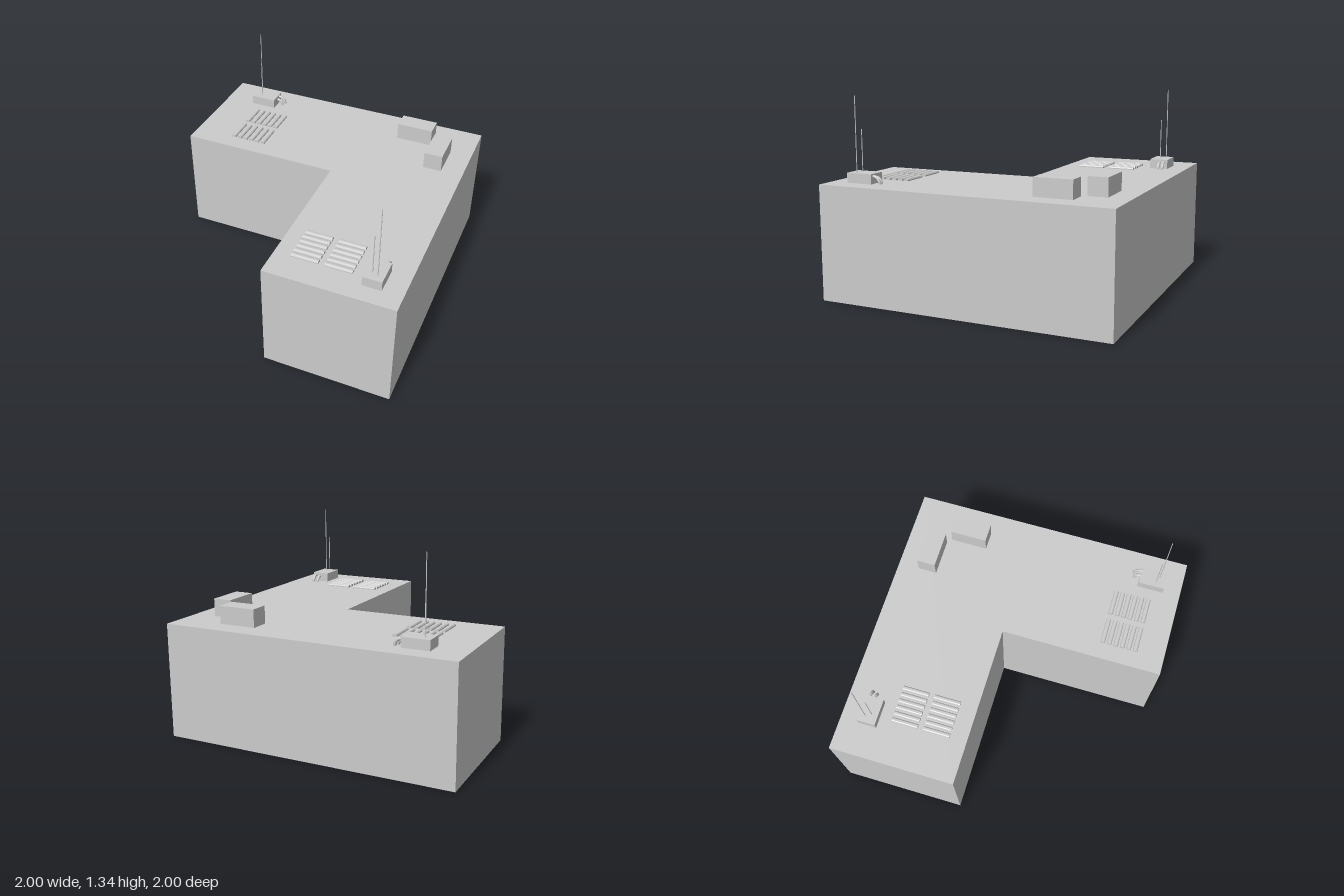
import * as THREE from 'three';

const ROOF = 0.775;
const grey = new THREE.MeshStandardMaterial({ color: 0xcccccc, flatShading: true });
const smoothGrey = new THREE.MeshStandardMaterial({ color: 0xcccccc });

function add(parent, name, geometry, x = 0, y = 0, z = 0, material = grey) {
  const mesh = new THREE.Mesh(geometry, material);
  mesh.name = name;
  mesh.position.set(x, y, z);
  parent.add(mesh);
  return mesh;
}

// Box standing on the roof
function roofBox(parent, name, w, h, d, x = 0, z = 0) {
  return add(parent, name, new THREE.BoxGeometry(w, h, d), x, h / 2, z);
}

// Closed prism along z with a bevelled, rounded top
function slatGeometry(length) {
  const pts = [[-0.016, 0], [0.016, 0], [0.016, 0.007], [0.012, 0.014], [0.006, 0.017],
    [-0.006, 0.017], [-0.012, 0.014], [-0.016, 0.007]];
  const shape = new THREE.Shape(pts.map(([x, y]) => new THREE.Vector2(x, y)));
  const geo = new THREE.ExtrudeGeometry(shape, { depth: length, bevelEnabled: false });
  return geo.translate(0, 0, -length / 2);
}

// Two rows of six parallel slats
function slatBank(name) {
  const bank = new THREE.Group();
  bank.name = name;
  const geo = slatGeometry(0.184);
  for (const z of [-0.1125, 0.1125]) {
    for (let i = 0; i < 6; i++) add(bank, 'slat', geo, (i - 2.5) * 0.0465, 0, z);
  }
  return bank;
}

// Cabinet with two masts and two bent pipes; side mirrors the fittings in z
function antennaUnit(name, side) {
  const unit = new THREE.Group();
  unit.name = name;
  roofBox(unit, 'cabinet', 0.185, 0.066, 0.127);
  for (const [x, z, top] of [[-0.045, -0.02, 1.34], [-0.027, 0.02, 1.12]]) {
    const h = top - ROOF - 0.06;
    add(unit, 'mast', new THREE.CylinderGeometry(0.003, 0.003, h, 8), x, 0.06 + h / 2, z * side, smoothGrey);
  }
  for (const [z, r] of [[-0.0375, 0.049], [-0.005, 0.04]]) {
    const path = new THREE.CurvePath();
    const v = (x, y) => new THREE.Vector3(x, y, 0);
    const k = 0.5523 * r;
    const x0 = 0.0925;
    path.add(new THREE.LineCurve3(v(x0 - 0.01, r), v(x0, r)));
    path.add(new THREE.CubicBezierCurve3(v(x0, r), v(x0 + k, r), v(x0 + r, k), v(x0 + r, 0)));
    add(unit, 'bentPipe', new THREE.TubeGeometry(path, 14, 0.01, 10), 0, 0, z * side, smoothGrey);
  }
  return unit;
}

export function createModel() {
  const model = new THREE.Group();
  model.name = 'building';

  // L-shaped block
  const plan = [[-1, -1], [-1, -0.13], [0.13, -0.13], [0.13, 1], [1, 1], [1, -1]];
  const shape = new THREE.Shape(plan.map(([x, z]) => new THREE.Vector2(x, -z)));
  const block = new THREE.ExtrudeGeometry(shape, { depth: ROOF, bevelEnabled: false });
  add(model, 'block', block.rotateX(-Math.PI / 2));

  const roof = new THREE.Group();
  roof.name = 'roofFittings';
  roof.position.y = ROOF;
  model.add(roof);

  // Plain housings near the outer corner
  roofBox(roof, 'rearHousing', 0.257, 0.12, 0.13, 0.557, -0.786);
  roofBox(roof, 'sideHousing', 0.13, 0.12, 0.257, 0.781, -0.562);

  // Fittings at the end of each wing, the front wing's turned a quarter
  const place = (part, x, z, turn) => {
    part.position.set(x, 0, z);
    part.rotation.y = turn;
    roof.add(part);
  };
  place(slatBank('rearSlats'), -0.578, -0.455, 0);
  place(slatBank('frontSlats'), 0.449, 0.678, Math.PI / 2);
  place(antennaUnit('rearAntennaUnit', 1), -0.688, -0.808, 0);
  place(antennaUnit('frontAntennaUnit', -1), 0.8, 0.785, Math.PI / 2);

  return model;
}
